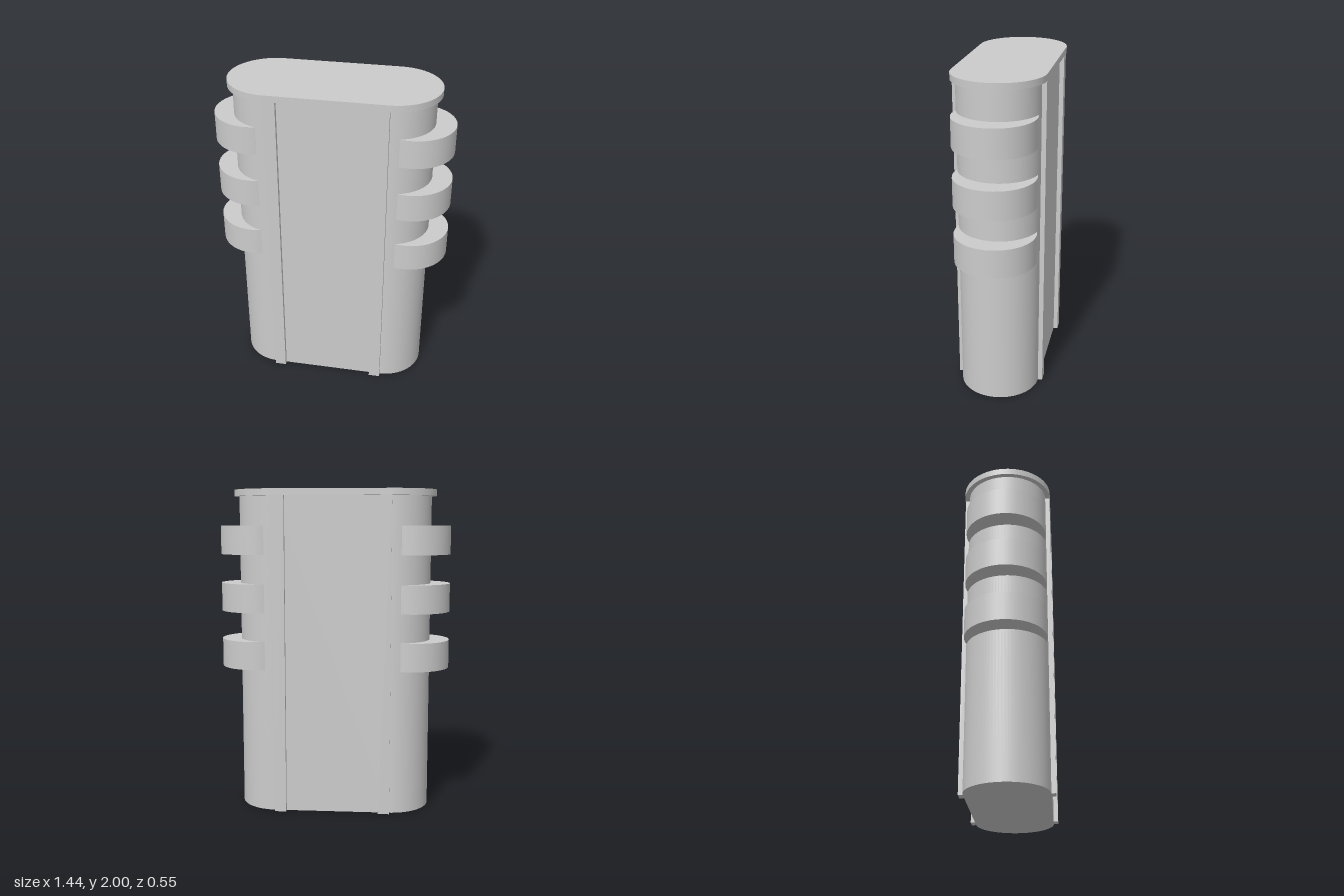
import * as THREE from 'three';

const material = new THREE.MeshStandardMaterial({ color: 0xcccccc });

// Upright slab with a stadium-shaped plan: straight sides, round ends
function stadium(name, halfStraight, radius, bottom, height) {
  const shape = new THREE.Shape();
  shape.absarc(halfStraight, 0, radius, -Math.PI / 2, Math.PI / 2, false);
  shape.absarc(-halfStraight, 0, radius, Math.PI / 2, Math.PI * 1.5, false);
  shape.closePath();
  const geometry = new THREE.ExtrudeGeometry(shape, { depth: height, bevelEnabled: false, curveSegments: 20 });
  geometry.rotateX(-Math.PI / 2);
  // Smooth normals around the wall, taken from the nearest end centre
  const p = geometry.attributes.position, n = geometry.attributes.normal;
  for (let i = 0; i < p.count; i++) {
    if (Math.abs(n.getY(i)) > 0.5) continue;
    const dx = p.getX(i) - THREE.MathUtils.clamp(p.getX(i), -halfStraight, halfStraight);
    n.setXYZ(i, dx / radius, 0, p.getZ(i) / radius);
  }
  const mesh = new THREE.Mesh(geometry, material);
  mesh.name = name;
  mesh.position.y = bottom;
  return mesh;
}

export function createModel() {
  const group = new THREE.Group();
  group.name = 'ribbedColumn';

  group.add(stadium('body', 0.355, 0.245, 0, 1.96));
  group.add(stadium('topCap', 0.355, 0.275, 1.96, 0.04));

  for (const side of [-1, 1]) {
    // Vertical rails on the front and back faces
    for (const face of [-1, 1]) {
      const rail = new THREE.Mesh(new THREE.BoxGeometry(0.07, 1.96, 0.045), material);
      rail.name = 'rail';
      rail.position.set(side * 0.323, 0.98, face * 0.25);
      group.add(rail);
    }
    // Three round collars bulging out of each end
    for (const y of [0.983, 1.337, 1.692]) {
      const collar = new THREE.Mesh(new THREE.CylinderGeometry(0.245, 0.245, 0.176, 40), material);
      collar.name = 'collar';
      collar.position.set(side * 0.477, y, 0);
      group.add(collar);
    }
  }
  return group;
}
